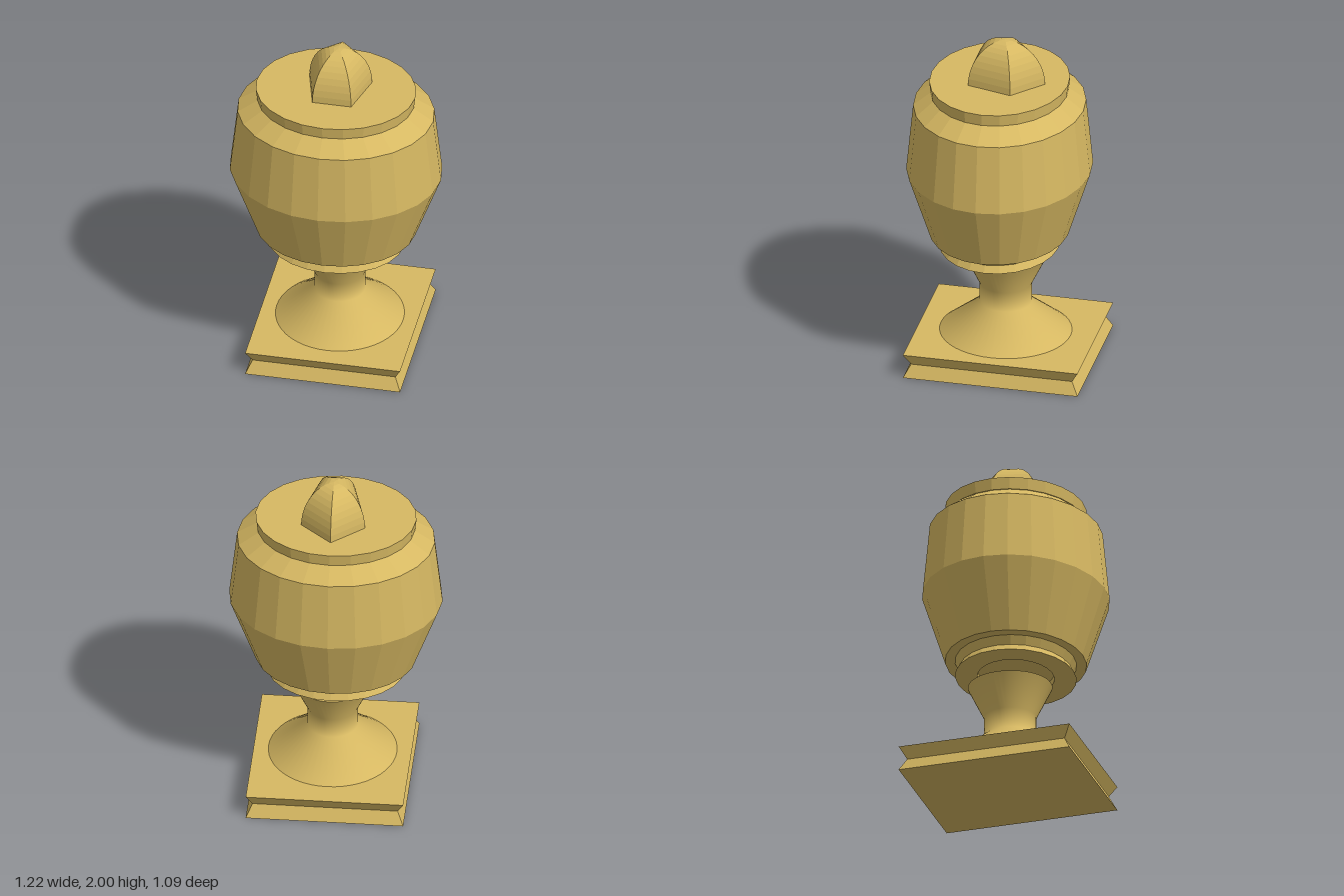
import * as THREE from 'three';

const COLOR = 0xd6b862;

// Revolved part, listed from bottom to top as [radius, height]
function turned(name, profile, sides, { x = 0, z = 0, sx = 1, sz = 1, start = 0, flat = true } = {}) {
  const points = profile.map(([r, y]) => new THREE.Vector2(r, y));
  const material = new THREE.MeshStandardMaterial({ color: COLOR, flatShading: flat });
  const mesh = new THREE.Mesh(new THREE.LatheGeometry(points, sides, start), material);
  mesh.name = name;
  mesh.position.set(x, 0, z);
  mesh.scale.set(sx, 1, sz);
  return mesh;
}

export function createModel() {
  const model = new THREE.Group();
  model.name = 'urn';

  // Square plinth with a notch running round its edge
  const corner = Math.SQRT2;
  model.add(turned('plinth',
    [[0, 0], [corner, 0], [0.922 * corner, 0.075], [corner, 0.145], [0, 0.145]], 4,
    { x: 0.015, z: -0.035, sx: 0.45, sz: 0.51, start: Math.PI / 4 }));

  // Smooth waisted stem and its flat top
  const stemPlace = { x: 0.015, z: -0.022, sz: 1.03 };
  model.add(turned('stem',
    [[0.367, 0.145], [0.145, 0.33], [0.145, 0.45], [0.235, 0.64]], 48,
    { ...stemPlace, flat: false }));
  model.add(turned('stemTop', [[0.235, 0.64], [0, 0.64]], 48, stemPlace));

  // Oval faceted bowl: recessed underside, foot ring, belly, shoulder and lid
  const bowlPlace = { z: 0.017, sz: 0.865 };
  model.add(turned('bowl', [
    [0, 0.73], [0.25, 0.73], [0.25, 0.69],
    [0.395, 0.69], [0.37, 0.73], [0.395, 0.78],
    [0.46, 0.78], [0.61, 1.185], [0.565, 1.59],
    [0.445, 1.67], [0.452, 1.67], [0.46, 1.74], [0, 1.74],
  ], 24, bowlPlace));

  // Five-sided domed finial
  const dome = [];
  const steps = 10;
  for (let i = 0; i <= steps; i++) {
    const a = (i / steps) * Math.PI / 2;
    dome.push([i === steps ? 0 : Math.cos(a), 1.74 + 0.26 * Math.sin(a)]);
  }
  model.add(turned('finial', dome, 5,
    { x: 0.007, z: -0.015, sx: 0.192, sz: 0.235, start: Math.PI }));

  return model;
}
